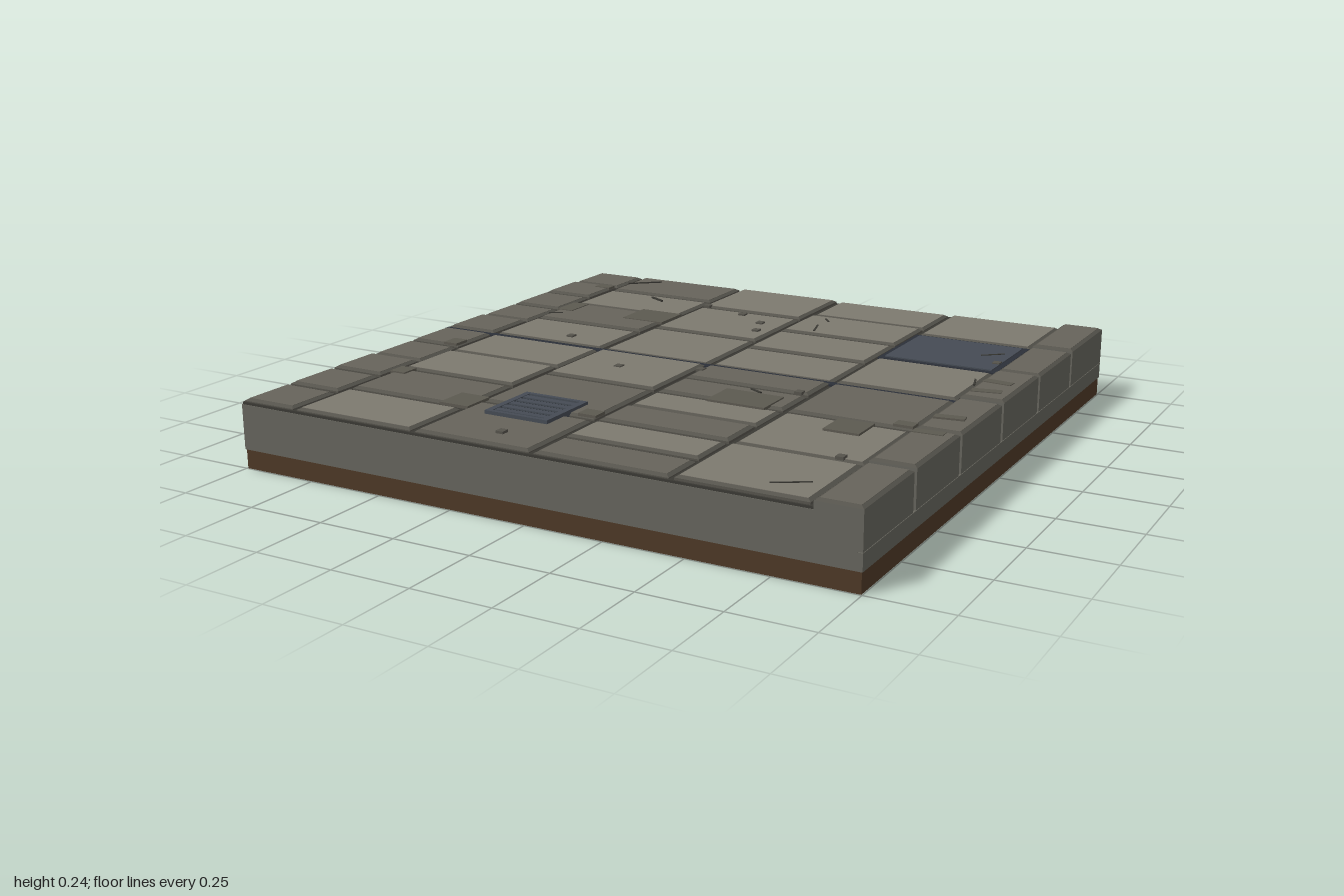
import * as THREE from 'three';

const mats = {};
function mat(color) {
  return (mats[color] ??= new THREE.MeshStandardMaterial({ color, flatShading: true }));
}
const SOIL = 0x4d3826, CONCRETE = 0x65645c, BED = 0x3a3934, LIGHT = 0x7d796f, DARK = 0x66635a,
  BEVEL = 0x55534c, METAL = 0x454b54, IRON = 0x2c3038, PATCH = 0x5c5950;

export function createModel() {
  const root = new THREE.Group();

  // Box given by its limits; bevel pulls in the upper rim
  function block(name, color, x0, x1, y0, y1, z0, z1, parent = root) {
    const geo = new THREE.BoxGeometry(x1 - x0, y1 - y0, z1 - z0);
    const mesh = new THREE.Mesh(geo, mat(color));
    mesh.name = name;
    mesh.position.set((x0 + x1) / 2, (y0 + y1) / 2, (z0 + z1) / 2);
    parent.add(mesh);
    return mesh;
  }

  // Paving stone: straight dark body with a chamfered cap
  function slab(name, color, x0, x1, y0, y1, z0, z1) {
    const g = new THREE.Group();
    g.name = name;
    const b = 0.011, h = 0.007;
    block(name + 'Body', y0 < 0.15 ? CONCRETE : BEVEL, x0, x1, y0, y1 - h, z0, z1, g);
    const cap = block(name + 'Chamfer', BEVEL, x0, x1, y1 - h, y1 - 0.001, z0, z1, g);
    const p = cap.geometry.attributes.position;
    for (let i = 0; i < p.count; i++) {
      if (p.getY(i) > 0) {
        p.setX(i, p.getX(i) - Math.sign(p.getX(i)) * b);
        p.setZ(i, p.getZ(i) - Math.sign(p.getZ(i)) * b);
      }
    }
    cap.geometry.computeVertexNormals();
    block(name + 'Face', color, x0 + b, x1 - b, y1 - 0.002, y1, z0 + b, z1 - b, g);
    root.add(g);
  }

  // Layers under the paving
  block('soil', SOIL, -0.997, 0.997, 0, 0.06, -0.997, 0.997);
  block('foundation', CONCRETE, -1, 1, 0.06, 0.11, -1, 1);
  block('foundationUpper', CONCRETE, -1, 0.985, 0.11, 0.2, -1, 1);
  block('jointBed', BED, -0.998, 0.985, 0.2, 0.207, -0.998, 0.998);

  // Paving columns: x limits, row edges, indices of the darker slabs
  const columns = [
    [-0.995, -0.81, [-1, -0.805, -0.605, -0.4, -0.205, 0, 0.2, 0.4, 0.6, 0.8, 1], [0, 1, 2, 3, 4, 5, 6, 7, 8, 9]],
    [-0.795, -0.383, [-1, -0.755, -0.505, -0.255, 0, 0.25, 0.5, 0.75, 1], [0, 2, 6]],
    [-0.367, 0.017, [-1, -0.675, -0.335, 0, 0.335, 0.67, 1], [4, 5]],
    [0.033, 0.45, [-1, -0.755, -0.5, -0.255, 0, 0.165, 0.335, 0.5, 0.67, 0.838, 1], [4, 5, 7, 9]],
    [0.466, 0.853, [-1, -0.675, -0.335, 0, 0.335, 0.67, 1], [3]],
  ];
  columns.forEach(([x0, x1, rows, dark], c) => {
    for (let r = 0; r < rows.length - 1; r++) {
      if (c === 4 && r === 1) continue;
      const top = 0.217 + 0.002 * ((r * 2 + c) % 3);
      slab('pavingSlab', dark.includes(r) ? DARK : LIGHT, x0, x1, 0.2, top, rows[r] + 0.008, rows[r + 1] - 0.008);
    }
  });

  // Raised kerb along the left edge
  const kerb = [-1, -0.66, -0.333, 0, 0.34, 0.67, 1];
  for (let i = 0; i < 6; i++) {
    slab('kerbStone', DARK, 0.865, 1, 0.112, i % 2 ? 0.231 : 0.234,
      kerb[i] + (i ? 0.009 : 0), kerb[i + 1] - (i < 5 ? 0.009 : 0));
  }

  // Expansion joint across the middle
  block('expansionJoint', IRON, -0.998, 0.86, 0.2, 0.214, -0.014, 0.014);

  // Metal access plate with a rim
  block('accessPlateFrame', IRON, 0.46, 0.856, 0.2, 0.217, -0.672, -0.338);
  block('accessPlate', METAL, 0.478, 0.838, 0.21, 0.221, -0.654, -0.356);

  // Drain: frame, pit and bars
  const drain = new THREE.Group();
  drain.name = 'drain';
  root.add(drain);
  block('drainPit', 0x24272d, -0.275, -0.075, 0.2, 0.222, 0.57, 0.77, drain);
  for (const x of [-0.282, -0.087]) block('drainFrame', METAL, x, x + 0.019, 0.2, 0.228, 0.563, 0.777, drain);
  for (const z of [0.563, 0.763]) block('drainFrame', METAL, -0.282, -0.068, 0.2, 0.228, z, z + 0.014, drain);
  for (let i = 0; i < 5; i++) {
    const z = 0.588 + i * 0.036;
    block('drainBar', METAL, -0.268, -0.084, 0.215, 0.2265, z, z + 0.022, drain);
  }

  // Worn patches: x, z, width, depth
  const patches = [
    [-0.445, -0.45, 0.155, 0.14], [0.31, 0.295, 0.19, 0.13], [0.69, 0.4, 0.11, 0.11],
    [-0.405, 0.705, 0.1, 0.11], [-0.765, -0.435, 0.06, 0.11], [-0.84, 0.165, 0.05, 0.06],
    [-0.77, 0.53, 0.055, 0.06], [-0.84, -0.77, 0.06, 0.04], [0.82, 0.3, 0.06, 0.04],
    [-0.01, 0.635, 0.06, 0.05],
  ];
  for (const [x, z, w, d] of patches) {
    block('wornPatch', PATCH, x - w / 2, x + w / 2, 0.215, 0.2235, z - d / 2, z + d / 2);
  }

  // Chips and pebbles
  const chips = [[-0.18, -0.63], [-0.07, -0.55], [-0.035, -0.45], [-0.205, 0.165], [-0.545, -0.085],
    [-0.135, 0.9], [0.42, 0.155], [0.78, 0.65], [0.04, 0.075], [0.825, -0.44], [-0.35, -0.685]];
  for (const [x, z] of chips) {
    block('chip', BEVEL, x - 0.012, x + 0.012, 0.215, 0.2245, z - 0.013, z + 0.013);
  }

  // Hairline cracks: x, z, length, turn about y
  const cracks = [
    [-0.74, -0.9, 0.13, 0.7], [-0.565, -0.69, 0.07, -0.5], [0.12, -0.69, 0.04, -0.9],
    [0.13, -0.575, 0.08, -1.3], [0.3, 0.205, 0.05, -0.5], [0.755, 0.9, 0.11, 0.55],
    [0.78, -0.53, 0.08, 0.7], [-0.77, -0.33, 0.05, 0.5], [0.84, -0.2, 0.06, -1.3],
  ];
  for (const [x, z, len, turn] of cracks) {
    const crack = block('crack', BED, x - len / 2, x + len / 2, 0.217, 0.2232, z - 0.003, z + 0.003);
    crack.rotation.y = turn;
  }

  // Broken flakes on the kerb
  [[-0.185, -0.1], [-0.08, 0.2], [0.22, 0.15], [0.38, 0.05]].forEach(([z, turn]) => {
    const flake = block('kerbFlake', PATCH, 0.875, 0.965, 0.225, 0.2365, z - 0.016, z + 0.016);
    flake.rotation.y = turn;
  });

  return root;
}
